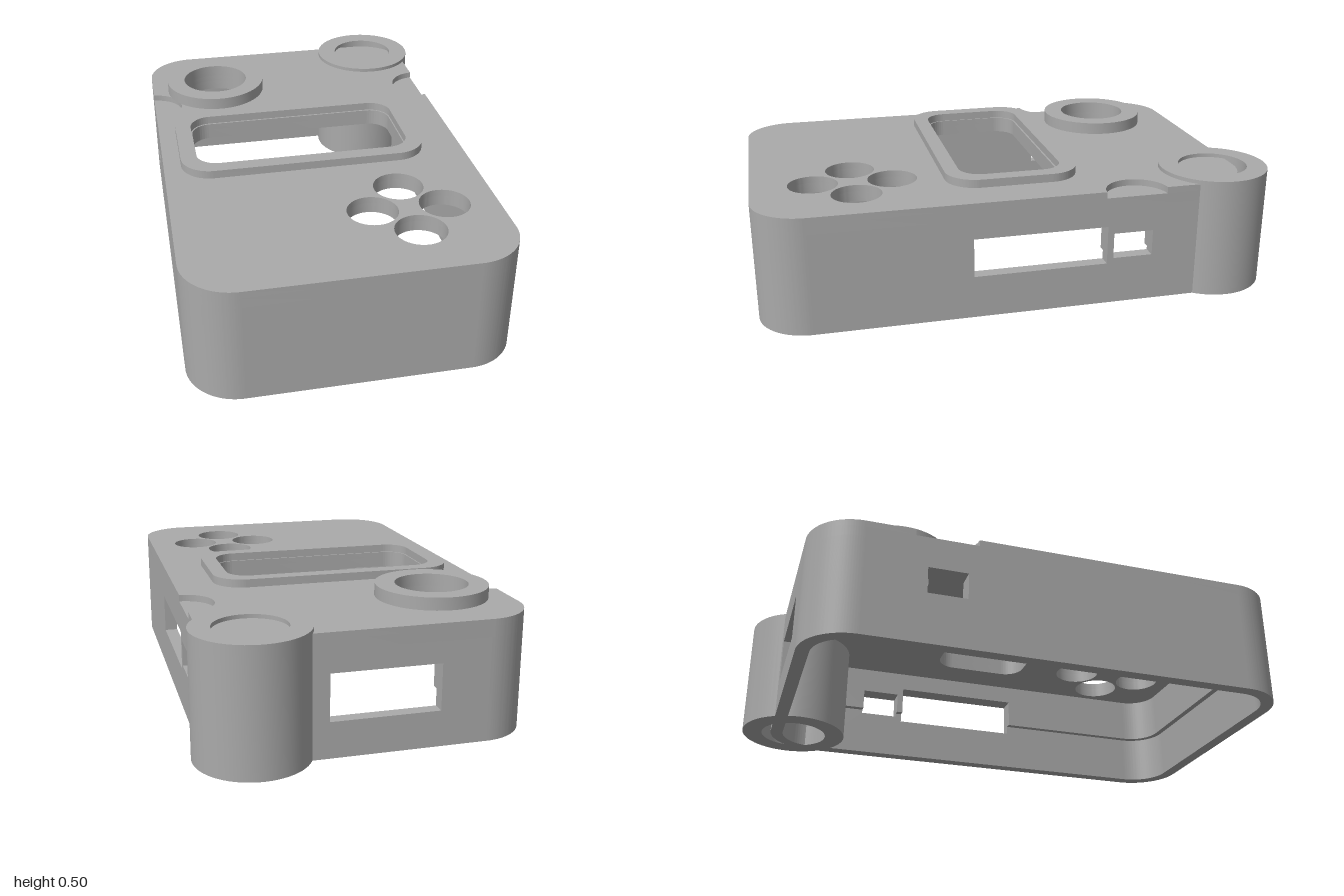
import * as THREE from 'three';
import { toCreasedNormals } from 'three/addons/utils/BufferGeometryUtils.js';

// Body footprint and levels
const X0 = -0.62, X1 = 0.575, Z0 = -0.885, Z1 = 1, R = 0.19;
const TOP = 0.455, NOTCH_Y = 0.43, CEIL = 0.39, LEDGE = 0.2;
const WALL = 0.05, LINER = 0.025;

function rounded(path, x0, x1, z0, z1, r, notched = false) {
  const H = Math.PI / 2, b = H + 0.05;
  path.moveTo(x0 + r, z0).lineTo(x1 - r, z0);
  path.absarc(x1 - r, z0 + r, r, -H, 0, false);
  if (notched) path.absarc(x1 + 0.006, -0.41, 0.12, -b, b, true);
  path.absarc(x1 - r, z1 - r, r, 0, H, false);
  path.absarc(x0 + r, z1 - r, r, H, Math.PI, false);
  if (notched) path.absarc(x0 - 0.006, -0.39, 0.12, Math.PI - b, b - Math.PI, true);
  path.absarc(x0 + r, z0 + r, r, Math.PI, Math.PI + H, false);
  return path;
}

function circle(path, x, z, r) {
  path.absarc(x, z, r, 0, Math.PI * 2, false);
  return path;
}

function extrude(shape, depth) {
  return new THREE.ExtrudeGeometry(shape, { depth, bevelEnabled: false, curveSegments: 32 });
}

// Horizontal slab between two heights; shape coordinates are (x, z)
function slab(shape, y0, y1) {
  return toCreasedNormals(extrude(shape, y1 - y0).rotateX(Math.PI / 2).translate(0, y1, 0), 0.5);
}

// Wall panel; openings are [u0, u1, y0, y1] in rising u
function panel(u0, u1, y0, openings, asNotches) {
  const s = new THREE.Shape().moveTo(u0, y0);
  for (const [a, b, c, d] of openings) {
    if (asNotches) s.lineTo(a, y0).lineTo(a, d).lineTo(b, d).lineTo(b, y0);
    else s.holes.push(new THREE.Path().moveTo(a, c).lineTo(a, d).lineTo(b, d).lineTo(b, c).closePath());
  }
  s.lineTo(u1, y0).lineTo(u1, CEIL).lineTo(u0, CEIL).closePath();
  return s;
}

export function createModel() {
  const group = new THREE.Group();
  group.name = 'handheldCase';
  const grey = new THREE.MeshStandardMaterial({ color: 0xaaaaaa });
  grey.name = 'casingGrey';
  const add = (name, geometry) => {
    const mesh = new THREE.Mesh(geometry, grey);
    mesh.name = name;
    group.add(mesh);
  };

  // Top plate in two layers, the upper one with finger notches
  const plate = (notched) => {
    const s = rounded(new THREE.Shape(), X0, X1, Z0, Z1, R, notched);
    s.holes.push(rounded(new THREE.Path(), -0.485, 0.355, -0.183, 0.205, 0.08));
    s.holes.push(circle(new THREE.Path(), -0.34, -0.535, 0.138));
    for (const [x, z] of [[0.24, 0.463], [0.24, 0.765], [0.103, 0.613], [0.375, 0.613]])
      s.holes.push(circle(new THREE.Path(), x, z, 0.095));
    return s;
  };
  add('topPlateLower', slab(plate(false), CEIL, NOTCH_Y));
  add('topPlateUpper', slab(plate(true), NOTCH_Y, TOP));

  // Straight walls: outer panel, plus an inner liner above the ledge
  const sides = [
    { name: 'left', along: 'z', outer: X1, dir: -1, open: [[-0.48, -0.325, 0.185, 0.285], [-0.3, 0.215, 0.165, 0.315]] },
    { name: 'right', along: 'z', outer: X0, dir: 1, open: [[-0.462, -0.31, 0.2, 0.305]] },
    { name: 'back', along: 'x', outer: Z0, dir: 1, open: [[-0.25, 0.155, 0.135, 0.31]] },
    { name: 'front', along: 'x', outer: Z1, dir: -1, open: [] },
  ];
  for (const { name, along, outer, dir, open } of sides) {
    const [u0, u1] = along === 'z' ? [Z0 + R, Z1 - R] : [X0 + R, X1 - R];
    const place = (shape, start, t) => {
      const a = outer + dir * start, b = outer + dir * (start + t);
      const g = extrude(shape, t);
      return along === 'z'
        ? g.rotateY(-Math.PI / 2).translate(Math.max(a, b), 0, 0)
        : g.translate(0, 0, Math.min(a, b));
    };
    add(name + 'Wall', place(panel(u0, u1, 0, open, false), 0, WALL));
    add(name + 'WallLiner', place(panel(u0, u1, LEDGE, open, true), WALL, LINER));
  }

  // Rounded corners
  [[X1 - R, Z1 - R], [X0 + R, Z1 - R], [X0 + R, Z0 + R], [X1 - R, Z0 + R]].forEach(([x, z], i) => {
    const a = i * Math.PI / 2, b = a + Math.PI / 2;
    const arc = (r0, r1) => {
      const s = new THREE.Shape();
      s.absarc(x, z, r1, a, b, false);
      s.absarc(x, z, r0, b, a, true);
      s.closePath();
      return s;
    };
    add('cornerWall', slab(arc(R - WALL, R), 0, CEIL));
    add('cornerLiner', slab(arc(R - WALL - LINER, R - WALL), LEDGE, CEIL));
  });

  // Raised screen frame
  const frame = rounded(new THREE.Shape(), -0.552, 0.42, -0.248, 0.27, 0.12);
  frame.holes.push(rounded(new THREE.Path(), -0.49, 0.36, -0.19, 0.212, 0.085));
  add('screenFrame', slab(frame, TOP, 0.487));

  // Raised dial ring and hollow corner post
  const ring = (x, z, outer, inner) => {
    const s = circle(new THREE.Shape(), x, z, outer);
    s.holes.push(circle(new THREE.Path(), x, z, inner));
    return s;
  };
  add('dialRing', slab(ring(-0.34, -0.535, 0.213, 0.138), TOP, 0.503));
  add('cornerPost', slab(ring(0.405, -0.788, 0.212, 0.133), 0, 0.47));

  return group;
}
